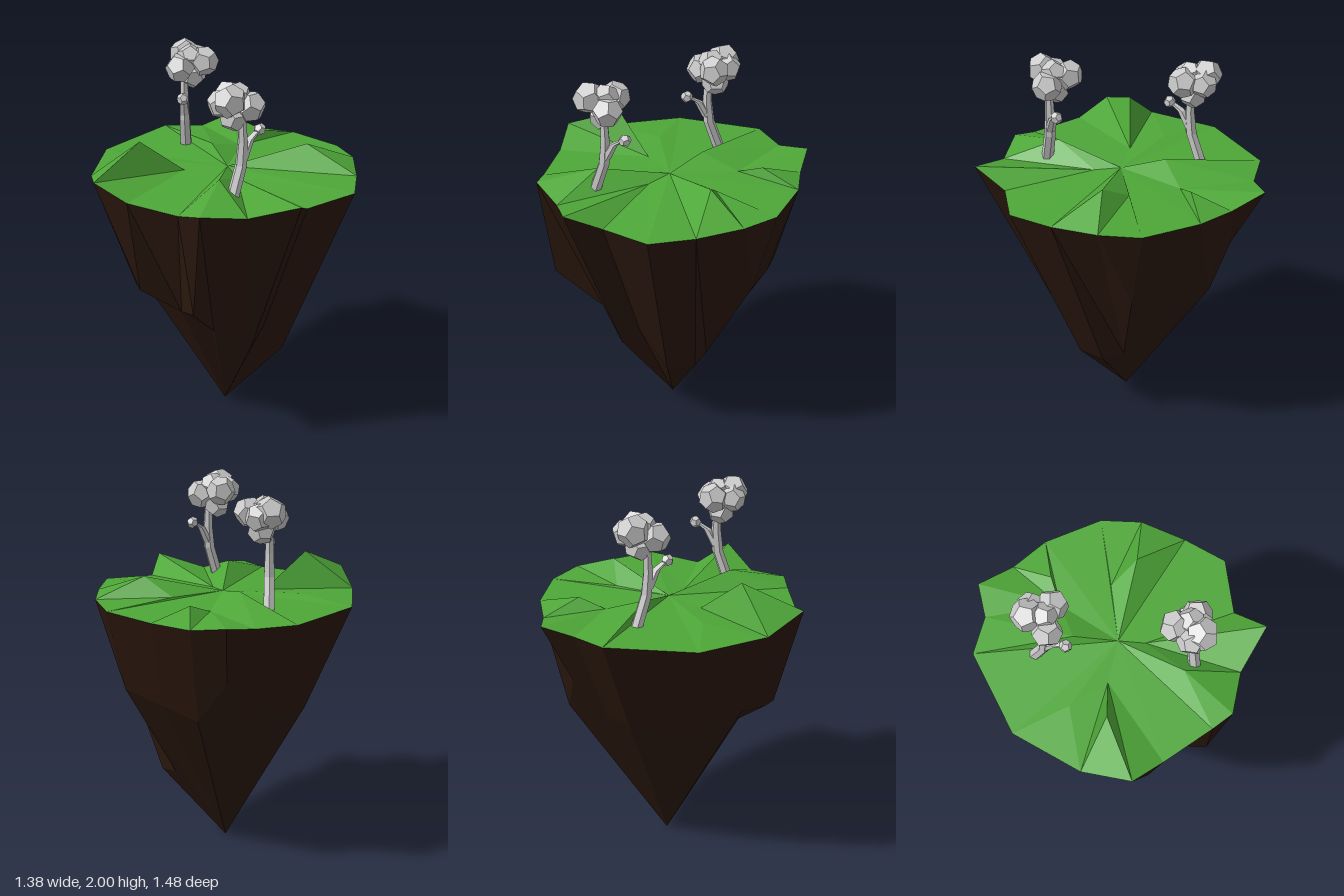
import * as THREE from 'three';

const GREEN = 0x4ea738, BROWN = 0x2b180e, GREY = 0xcccccc;

function material(color) {
  return new THREE.MeshStandardMaterial({ color, flatShading: true, side: THREE.DoubleSide });
}

// Outline of the island: [rim point, waist of the rock below it, foot of an undercut if any]
const OUTLINE = [
  [[-0.02, 1.43, -0.74], [-0.02, 1.09, -0.565]],
  [[0.16, 1.39, -0.63], [0.13, 0.87, -0.51]],
  [[0.36, 1.40, -0.54], [0.32, 0.92, -0.40]],
  [[0.60, 1.40, -0.33], [0.52, 0.95, -0.24]],
  [[0.68, 1.41, -0.13], [0.27, 0.42, -0.08]],
  [[0.69, 1.40, 0.12], [0.35, 0.405, 0.01]],
  [[0.67, 1.40, 0.36], [0.32, 0.40, 0.16]],
  [[0.43, 1.38, 0.52], [0.22, 0.60, 0.28]],
  [[0.40, 1.465, 0.71], [0.15, 0.50, 0.365]],
  [[0.14, 1.39, 0.685], [-0.04, 0.63, 0.42]],
  [[-0.09, 1.415, 0.74], [-0.13, 0.84, 0.655], [-0.05, 0.63, 0.41]],
  [[-0.20, 1.395, 0.68], [-0.21, 0.73, 0.40]],
  [[-0.465, 1.395, 0.53], [-0.42, 0.87, 0.44], [-0.24, 0.74, 0.37]],
  [[-0.64, 1.465, 0.44], [-0.45, 0.87, 0.36], [-0.34, 0.77, 0.25]],
  [[-0.69, 1.40, 0.18], [-0.51, 0.915, 0.16]],
  [[-0.66, 1.40, -0.215], [-0.43, 0.82, -0.12]],
  [[-0.37, 1.41, -0.59], [-0.24, 0.87, -0.365]],
  [[-0.16, 1.40, -0.63], [-0.10, 0.87, -0.41]],
];
const row = (i) => OUTLINE[i % OUTLINE.length];
const rim = (i) => row(i)[0];
const waist = (i) => row(i)[1];
const foot = (i) => row(i)[2] ?? row(i)[1];

function facetedMesh(name, triangles, color) {
  const geometry = new THREE.BufferGeometry();
  geometry.setAttribute('position', new THREE.Float32BufferAttribute(triangles.flat(2), 3));
  geometry.computeVertexNormals();
  const mesh = new THREE.Mesh(geometry, material(color));
  mesh.name = name;
  return mesh;
}

// Rock: rim to waist to foot to a single point at the bottom
function createRock() {
  const apex = [0, 0, 0.03];
  const triangles = [];
  for (let i = 0; i < OUTLINE.length; i++) {
    const j = i + 1;
    triangles.push([rim(i), rim(j), waist(i)], [rim(j), waist(j), waist(i)]);
    if (foot(i) !== waist(i)) triangles.push([waist(i), waist(j), foot(i)]);
    if (foot(j) !== waist(j)) triangles.push([waist(j), foot(j), foot(i)]);
    triangles.push([foot(i), foot(j), apex]);
  }
  return facetedMesh('rock', triangles, BROWN);
}

// Grass: hummocks around the centre, each fanned out to a run of rim points
function createGrass() {
  const centre = [0.015, 1.415, 0.05];
  const hummocks = [
    { p: centre, from: 2, to: 3 },
    { p: [0.275, 1.42, -0.115], from: 3, to: 4 },
    { p: [0.43, 1.515, -0.04], from: 4, to: 5 },
    { p: centre, from: 5, to: 6 },
    { p: [0.07, 1.40, 0.18], from: 6, to: 9 },
    { p: [-0.01, 1.49, 0.43], from: 9, to: 11 },
    { p: centre, from: 11, to: 12 },
    { p: [-0.21, 1.41, 0.10], from: 12, to: 14, peak: [-0.43, 1.60, 0.20], peakAt: 13 },
    { p: [-0.41, 1.42, -0.02], from: 14, to: 15 },
    { p: centre, from: 15, to: 16 },
    { p: [-0.08, 1.465, -0.16], from: 16, to: 17 },
    { p: [0.07, 1.40, -0.31], from: 17, to: 20, peak: [0.17, 1.455, -0.41], peakAt: 19 },
  ];
  const triangles = [];
  hummocks.forEach(({ p, from, to, peak, peakAt }, j) => {
    for (let k = from; k < to; k++) {
      const a = rim(k), b = rim(k + 1);
      if (k === peakAt) triangles.push([p, b, peak], [b, a, peak], [a, p, peak]);
      else triangles.push([p, b, a]);
    }
    const next = hummocks[(j + 1) % hummocks.length].p;
    triangles.push([p, next, rim(to)]);
    if (p !== centre && next !== centre) triangles.push([centre, next, p]);
  });
  return facetedMesh('grass', triangles, GREEN);
}

// Six-sided limb whose rings follow the stations [y, z, radius]
function createLimb(name, stations) {
  const n = stations.length - 1;
  const geometry = new THREE.CylinderGeometry(1, 1, n, 6, n);
  const pos = geometry.attributes.position;
  for (let i = 0; i < pos.count; i++) {
    const [y, z, r] = stations[Math.round(pos.getY(i) + n / 2)];
    pos.setXYZ(i, pos.getX(i) * r, y, pos.getZ(i) * r + z);
  }
  geometry.computeVertexNormals();
  const mesh = new THREE.Mesh(geometry, material(GREY));
  mesh.name = name;
  return mesh;
}

function createClump(name, x, y, z, radius, turn) {
  const mesh = new THREE.Mesh(new THREE.DodecahedronGeometry(radius), material(GREY));
  mesh.name = name;
  mesh.position.set(x, y, z);
  mesh.rotation.set(turn, turn * 1.7, turn * 0.6);
  return mesh;
}

// Tree leaning towards its own +z, with one short side branch
function createTree(name, x, z, angle) {
  const tree = new THREE.Group();
  tree.name = name;
  tree.add(createLimb('trunk', [[1.40, -0.02, 0.033], [1.57, 0.04, 0.031], [1.69, 0.05, 0.026], [1.83, 0.045, 0.02]]));
  tree.add(createLimb('branch', [[1.60, 0.05, 0.028], [1.69, 0.1, 0.022], [1.725, 0.155, 0.014]]));
  tree.add(createClump('branchLeaves', 0, 1.725, 0.165, 0.033, 0.5));
  const clumps = [
    [0, 1.915, -0.035, 0.085],
    [0.105, 1.90, 0.05, 0.08],
    [-0.02, 1.87, 0.08, 0.08],
    [0.04, 1.815, 0.02, 0.075],
    [0.055, 1.89, -0.04, 0.075],
    [0.03, 1.92, 0.04, 0.07],
  ];
  clumps.forEach(([cx, cy, cz, r], i) => tree.add(createClump('leafClump', cx, cy, cz, r, 0.4 + i * 1.1)));
  tree.position.set(x, 0, z);
  tree.rotation.y = angle;
  return tree;
}

export function createModel() {
  const model = new THREE.Group();
  model.name = 'floatingIsland';
  model.add(createRock(), createGrass());
  model.add(createTree('backTree', -0.23, -0.285, 0));
  model.add(createTree('frontTree', 0.07, 0.45, Math.PI * 0.75));
  return model;
}
